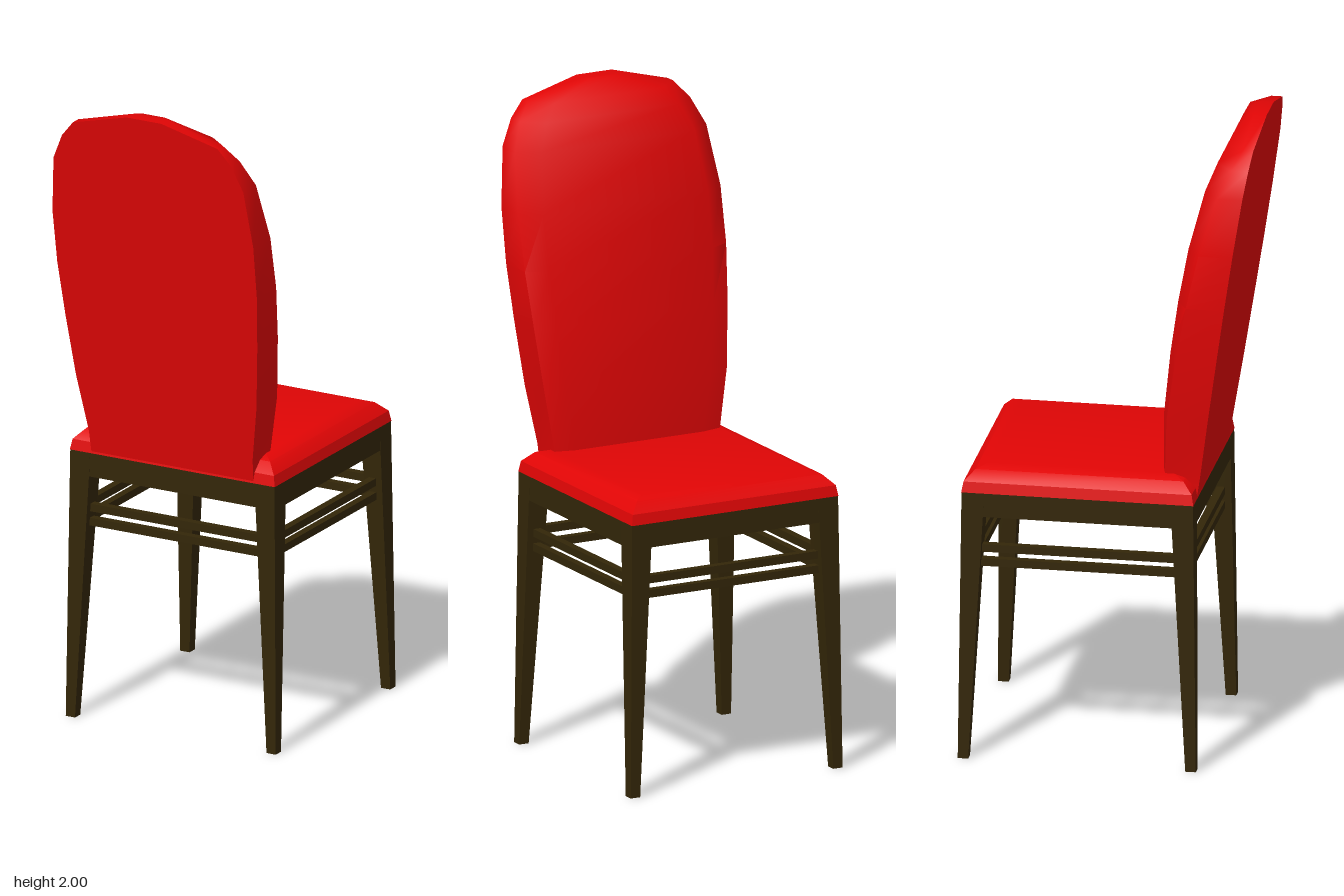
import * as THREE from 'three';
import { toCreasedNormals } from 'three/addons/utils/BufferGeometryUtils.js';

const red = new THREE.MeshStandardMaterial({ color: 0xe00505 });
const wood = new THREE.MeshStandardMaterial({ color: 0x332608 });

// Closed solid through stacked rings of [x, y, z], each running +x -> +z -> -x -> -z
function loft(rings, crease) {
  const n = rings[0].length, index = [];
  for (let i = 0; i < rings.length - 1; i++) {
    for (let j = 0; j < n; j++) {
      const a = i * n + j, b = i * n + (j + 1) % n;
      index.push(a, a + n, b, b, a + n, b + n);
    }
  }
  const top = (rings.length - 1) * n;
  for (let j = 1; j < n - 1; j++) {
    index.push(0, j, j + 1, top, top + j + 1, top + j);
  }
  const geo = new THREE.BufferGeometry();
  geo.setAttribute('position', new THREE.Float32BufferAttribute(rings.flat(2), 3));
  geo.setIndex(index);
  return toCreasedNormals(geo, crease);
}

const rect = (x0, x1, z0, z1, y) => [[x1, y, z0], [x1, y, z1], [x0, y, z1], [x0, y, z0]];

function add(parent, name, geometry, material, x = 0, y = 0, z = 0) {
  const mesh = new THREE.Mesh(geometry, material);
  mesh.name = name;
  mesh.position.set(x, y, z);
  parent.add(mesh);
}

export function createModel() {
  const chair = new THREE.Group();
  chair.name = 'chair';

  // Square base; the backrest stands on its +z edge
  const base = new THREE.Group();
  base.name = 'base';
  base.position.z = -0.082;
  chair.add(base);
  const H = 0.353;

  // Tapered legs, splayed slightly outwards
  for (const sx of [-1, 1]) {
    for (const sz of [-1, 1]) {
      const ring = (inner, outer, y) => rect(
        Math.min(sx * inner, sx * outer), Math.max(sx * inner, sx * outer),
        Math.min(sz * inner, sz * outer), Math.max(sz * inner, sz * outer), y);
      add(base, 'leg', loft([ring(0.331, 0.363, 0), ring(0.288, 0.354, 0.77), ring(0.285, 0.353, 0.845)], 0.3), wood);
    }
  }

  // Solid seat frame with paired rails below on all four sides
  add(base, 'seatFrame', new THREE.BoxGeometry(2 * H, 0.075, 2 * H), wood, 0, 0.8075, 0);
  for (let i = 0; i < 4; i++) {
    const rails = new THREE.Group();
    rails.name = 'railPair';
    rails.rotation.y = i * Math.PI / 2;
    base.add(rails);
    for (const y of [0.62, 0.665]) {
      add(rails, 'rail', new THREE.BoxGeometry(0.62, 0.024, 0.024), wood, 0, y, 0.323);
    }
  }

  // Seat cushion with bevelled upper edge
  const seatProfile = [[0, 0.845], [0.006, 0.878], [0.037, 0.909], [0.072, 0.92]];
  const seatRings = seatProfile.map(([inset, y]) => {
    const h = H + 0.001 - inset;
    return rect(-h, h, -h, h, y);
  });
  add(base, 'seat', loft(seatRings, 0.6), red);

  // Backrest sections: height, half width, front z; the rear is a flat leaning plane
  const sections = [
    [0.846, 0.28, 0.158], [0.92, 0.283, 0.158], [1.1, 0.312, 0.164], [1.3, 0.332, 0.187],
    [1.47, 0.345, 0.213], [1.64, 0.347, 0.245], [1.82, 0.328, 0.292],
    [1.9, 0.292, 0.324], [1.95, 0.25, 0.35], [2.0, 0.06, 0.388],
  ];
  const backRings = sections.map(([y, w, f]) => {
    const rear = 0.27 + (y - 0.846) * 0.1505;
    const b = Math.min(1, w / 0.2);
    // The front bevel deepens towards the top
    const edge = f + (0.015 + 0.04 * Math.max(0, y - 1)) * b;
    const flat = w - 0.065 * b;
    return [
      [w, y, edge], [w, y, rear], [-w, y, rear],
      [-w, y, edge], [-flat, y, f], [flat, y, f],
    ];
  });
  add(chair, 'backrest', loft(backRings, 1.1), red);

  return chair;
}
